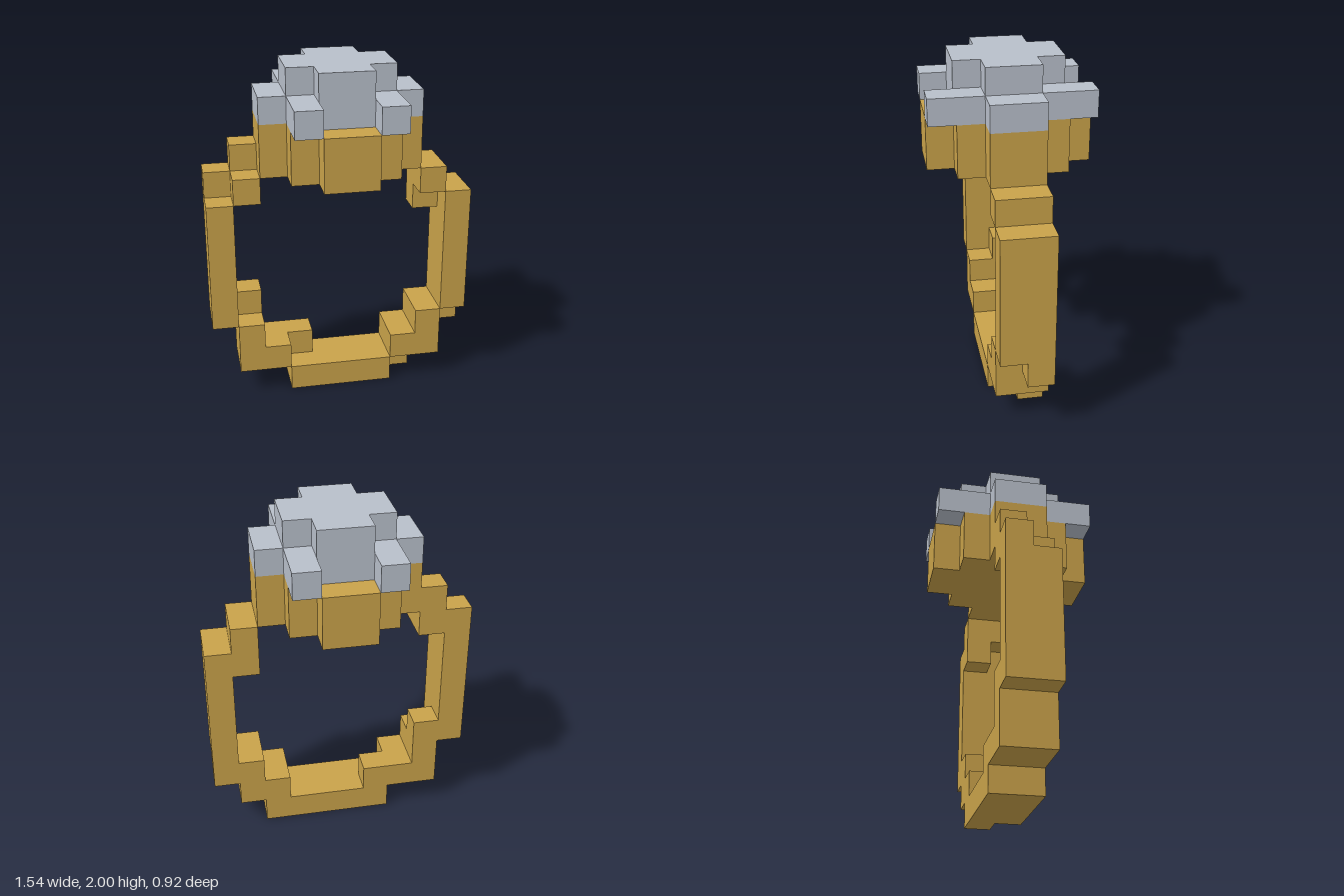
import * as THREE from 'three';
import { mergeGeometries } from 'three/addons/utils/BufferGeometryUtils.js';

const U = 2 / 13; // one block

// box between block coordinates
function block(x0, x1, y0, y1, z0, z1) {
  const g = new THREE.BoxGeometry((x1 - x0) * U, (y1 - y0) * U, (z1 - z0) * U);
  return g.translate((x0 + x1) * U / 2, (y0 + y1) * U / 2, (z0 + z1) * U / 2);
}

// one-block-thick layer of the band from [x0, x1, y0, y1] runs
const layer = (runs, z) => runs.map(([a, b, c, d]) => block(a, b, c, d, z, z + 1));

// stepped tier: half depth of each column, counted outward from the middle
function tier(depths, y0, y1) {
  return depths.flatMap((d, i) => i === 0
    ? [block(-1, 1, y0, y1, -d, d)]
    : [block(i, i + 1, y0, y1, -d, d), block(-i - 1, -i, y0, y1, -d, d)]);
}

export function createModel() {
  const gold = new THREE.MeshStandardMaterial({ color: 0xc9a24a });
  gold.name = 'gold';
  const silver = new THREE.MeshStandardMaterial({ color: 0xb8bfca });
  silver.name = 'silver';

  const model = new THREE.Group();
  model.name = 'ring';
  const add = (name, parts, material) => {
    const mesh = new THREE.Mesh(mergeGeometries(parts), material);
    mesh.name = name;
    model.add(mesh);
  };

  // band: two staggered layers
  add('bandFront', layer([
    [-2, 2, 0, 1],
    [-4, -2, 1, 2], [-4, -3, 2, 3], [-5, -4, 3, 8], [-4, -3, 8, 9],
    [2, 4, 1, 2], [3, 4, 2, 3], [4, 5, 3, 8], [3, 4, 8, 9],
  ], 0), gold);
  add('bandBack', layer([
    [-2, 3, 0, 1],
    [-4, -1, 1, 2], [-4, -3, 2, 4], [-5, -4, 3, 9], [-4, -3, 8, 10],
    [2, 4, 1, 2], [3, 4, 2, 3], [4, 5, 2, 8], [3, 4, 7, 9],
  ], -1), gold);

  // setting that holds the stone
  add('setting', tier([3, 2, 1], 9, 11), gold);

  // stone: wide lower tier with four overhanging prongs, smaller top
  add('stoneLower', tier([2, 3, 1], 11, 12), silver);
  add('stoneTop', tier([2, 1], 12, 13), silver);

  return model;
}
